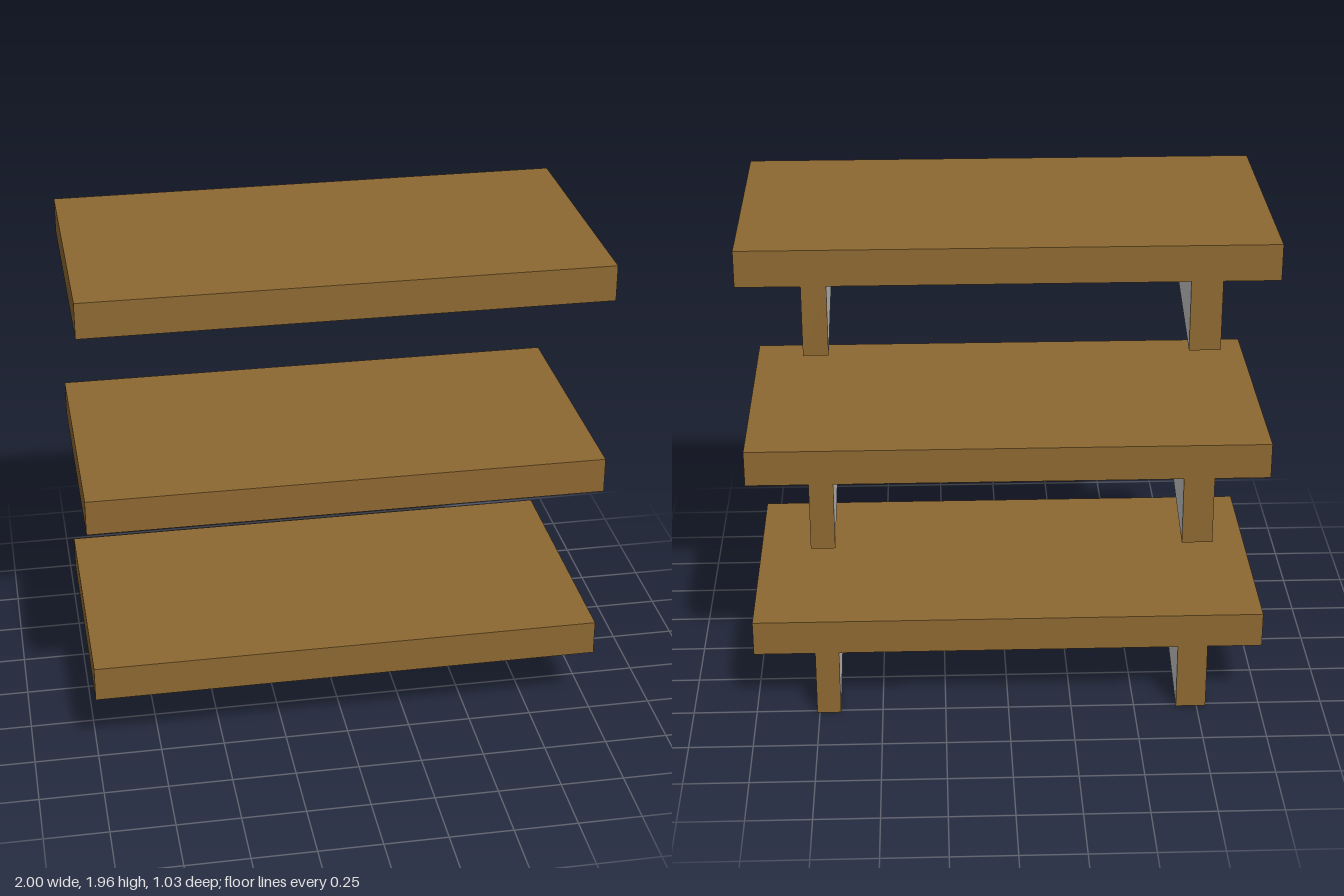
import * as THREE from 'three';

const DEPTH = 1.03, THICK = 0.14, DROP = 0.273, REACH = 0.935;

// Wedge bracket: a box whose lower front edge is lifted to the top.
// Origin at the middle of its upper back edge.
function wedgeGeometry(width) {
  const geo = new THREE.BoxGeometry(width, DROP, REACH).translate(0, -DROP / 2, REACH / 2);
  const pos = geo.attributes.position;
  for (let i = 0; i < pos.count; i++) {
    if (pos.getZ(i) > REACH / 2) pos.setY(i, 0);
  }
  // Drop the collapsed front face, keep the back face as its own group
  const index = Array.from(geo.index.array);
  geo.setIndex([...index.slice(0, 24), ...index.slice(30)]);
  geo.clearGroups();
  geo.addGroup(0, 24, 0);
  geo.addGroup(24, 6, 1);
  geo.computeVertexNormals();
  return geo;
}

export function createModel() {
  const model = new THREE.Group();
  model.name = 'shelves';
  const wood = new THREE.MeshStandardMaterial({ color: 0x8d6831 });
  const grey = new THREE.MeshStandardMaterial({ color: 0xcccccc });

  const boardGeo = new THREE.BoxGeometry(2, THICK, DEPTH);
  const brackets = [
    { name: 'rightBracket', x: -0.727, geo: wedgeGeometry(0.118) },
    { name: 'leftBracket', x: 0.713, geo: wedgeGeometry(0.094) },
  ];

  // Three shelves, placed by the underside of each board
  [DROP, 1.011, 1.816].forEach((y, i) => {
    const shelf = new THREE.Group();
    shelf.name = `shelf${i + 1}`;
    shelf.position.y = y;

    const board = new THREE.Mesh(boardGeo, wood);
    board.name = 'board';
    board.position.y = THICK / 2;
    shelf.add(board);

    // Grey wedges with a wooden back face flush with the board
    for (const { name, x, geo } of brackets) {
      const bracket = new THREE.Mesh(geo, [grey, wood]);
      bracket.name = name;
      bracket.position.set(x, 0, -DEPTH / 2);
      shelf.add(bracket);
    }
    model.add(shelf);
  });
  return model;
}
